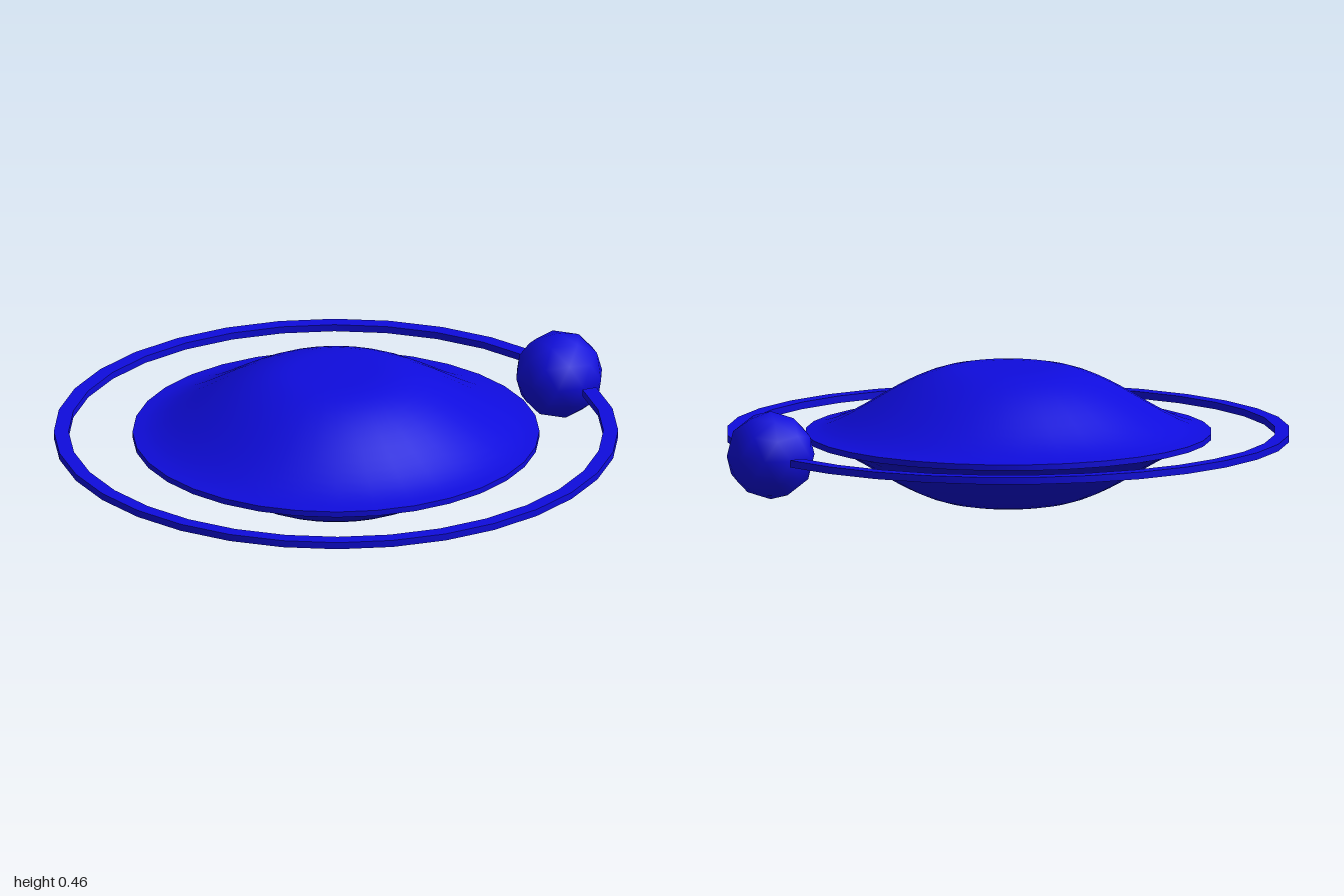
import * as THREE from 'three';
import { toCreasedNormals } from 'three/addons/utils/BufferGeometryUtils.js';

const SIDES = 32;
const MID = 0.23; // height of the symmetry plane
const CENTER_X = -0.05; // axis shared by disc and ring

export function createModel() {
  const model = new THREE.Group();
  const material = new THREE.MeshStandardMaterial({ color: 0x0f0cdd });

  const add = (name, geometry, x) => {
    const mesh = new THREE.Mesh(geometry, material);
    mesh.name = name;
    mesh.position.set(x, MID, 0);
    model.add(mesh);
  };

  // Lens-shaped disc: S-curved shoulder, flat cap and thin rim, mirrored below
  const shoulder = new THREE.CubicBezierCurve(
    new THREE.Vector2(0.685, 0.01),
    new THREE.Vector2(0.52, 0.02),
    new THREE.Vector2(0.36, 0.228),
    new THREE.Vector2(0.14, 0.23)
  ).getPoints(14);
  const upper = [...shoulder, new THREE.Vector2(0, 0.23)];
  const lower = upper.map((p) => new THREE.Vector2(p.x, -p.y)).reverse();
  const disc = new THREE.LatheGeometry([...lower, ...upper], SIDES);
  add('disc', toCreasedNormals(disc, 0.7), CENTER_X);

  // Flat ring with a two-segment gap on the +x side
  const step = (Math.PI * 2) / SIDES;
  const arc = (radius) => Array.from({ length: SIDES - 1 }, (_, i) =>
    new THREE.Vector2(radius * Math.cos((i + 1) * step), radius * Math.sin((i + 1) * step)));
  const outline = new THREE.Shape([...arc(0.95), ...arc(0.9).reverse()]);
  const ring = new THREE.ExtrudeGeometry(outline, { depth: 0.024, bevelEnabled: false });
  ring.translate(0, 0, -0.012).rotateX(-Math.PI / 2);
  add('openRing', toCreasedNormals(ring, 0.7), CENTER_X);

  // Small ball in the gap, turned so a corner points straight up
  const ball = new THREE.IcosahedronGeometry(0.15, 1);
  ball.rotateZ(-Math.atan(2 / (1 + Math.sqrt(5))));
  add('ball', ball, 0.857);

  return model;
}
